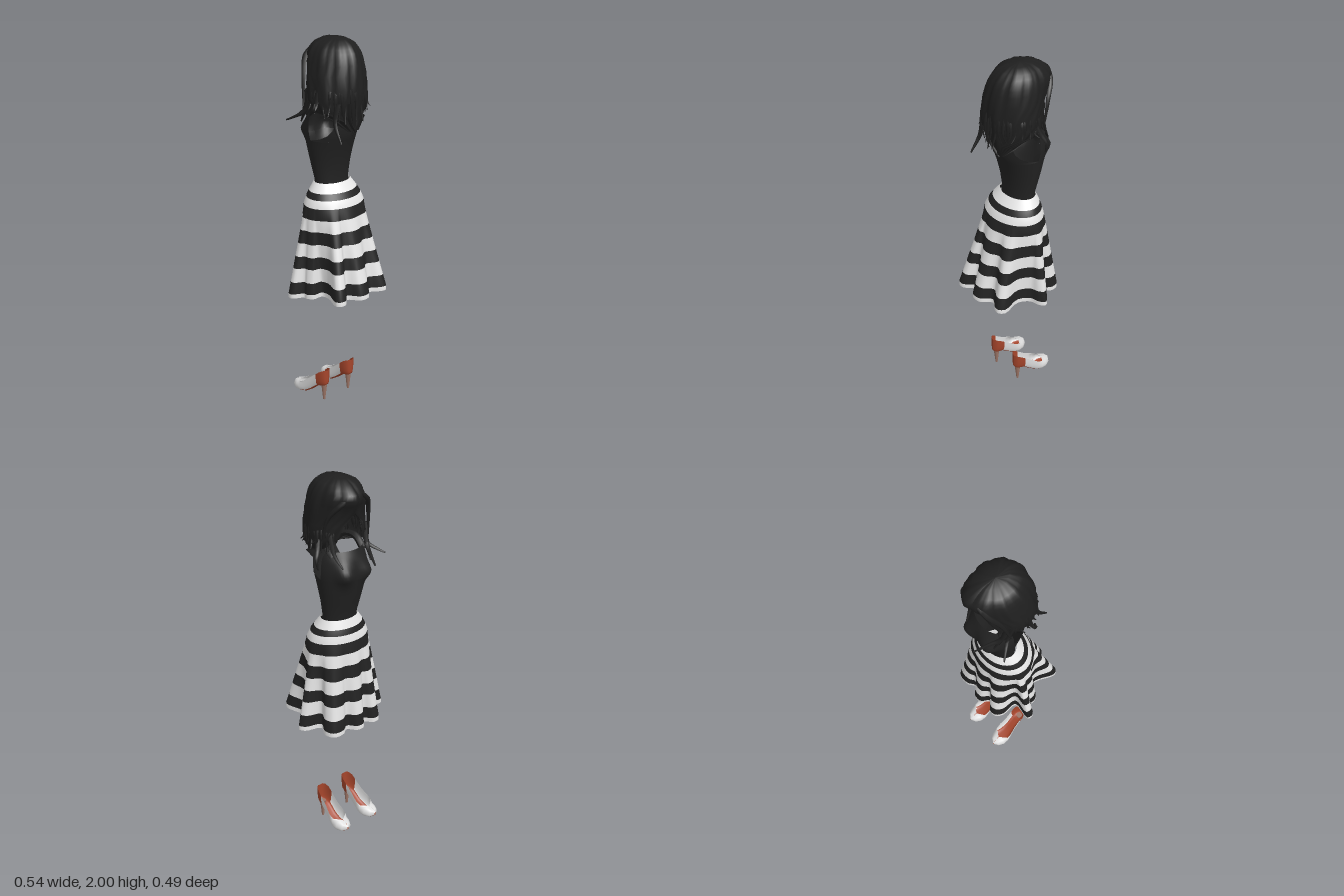
import * as THREE from 'three';

const V = (x, y, z) => new THREE.Vector3(x, y, z);
const mat = (name, color) => {
  const m = new THREE.MeshStandardMaterial({ color, side: THREE.DoubleSide });
  m.name = name;
  return m;
};

// Skin a surface over rows of points; pick(row, col) chooses the material of each quad
function loft(name, rows, mats, pick = () => 0) {
  const n = rows[0].length, lists = mats.map(() => []);
  for (let i = 0; i < rows.length - 1; i++)
    for (let j = 0; j < n - 1; j++) {
      const a = i * n + j, b = a + n;
      lists[pick(i, j)].push(a, b, a + 1, b, b + 1, a + 1);
    }
  const g = new THREE.BufferGeometry();
  g.setAttribute('position', new THREE.Float32BufferAttribute(rows.flat().flatMap(p => [p.x, p.y, p.z]), 3));
  g.setIndex(lists.flat());
  let start = 0;
  lists.forEach((l, k) => { g.addGroup(start, l.length, k); start += l.length; });
  g.computeVertexNormals();
  const m = new THREE.Mesh(g, mats);
  m.name = name;
  return m;
}

// Arc of an ellipse, angle 0 at +z; mid is the arc centre, half its half-width
function arc(y, cx, cz, rx, rz, mid, half, n, bump) {
  return Array.from({ length: n + 1 }, (_, j) => {
    const t = mid + half * (2 * j / n - 1), k = bump(t, y);
    return V(cx + rx * k * Math.sin(t), y, cz + rz * k * Math.cos(t));
  });
}

// Tapered lock of hair or strap along a curve
function strand(name, pts, r0, r1, material, sides = 5) {
  const curve = new THREE.CatmullRomCurve3(pts.map(p => V(...p))), seg = 10;
  const g = new THREE.TubeGeometry(curve, seg, 1, sides);
  const p = g.attributes.position;
  for (let i = 0; i <= seg; i++) {
    const c = curve.getPointAt(i / seg), r = r0 + (r1 - r0) * (i / seg) ** 1.5;
    for (let j = 0; j <= sides; j++) {
      const k = i * (sides + 1) + j, v = V(0, 0, 0).fromBufferAttribute(p, k).sub(c).multiplyScalar(r).add(c);
      p.setXYZ(k, v.x, v.y, v.z);
    }
  }
  g.computeVertexNormals();
  const m = new THREE.Mesh(g, material);
  m.name = name;
  return m;
}

function makeSkirt(black, white) {
  // Outline of the folded hem, as x, z pairs
  const hem = [[.268, -.01], [.242, .015], [.19, .03], [.157, .09], [.18, .2], [.155, .23], [.125, .225], [.07, .19],
    [.02, .24], [-.035, .24], [-.08, .18], [-.13, .225], [-.165, .225], [-.18, .2], [-.137, .1], [-.14, .05],
    [-.195, .045], [-.215, .015], [-.215, -.01], [-.268, -.045], [-.262, -.08], [-.16, -.075], [-.155, -.16],
    [-.13, -.198], [-.09, -.202], [-.05, -.165], [-.015, -.205], [.03, -.205], [.07, -.165], [.11, -.187], [.16, -.19],
    [.185, -.175], [.195, -.13], [.165, -.07], [.25, -.04]];
  const outline = new THREE.CatmullRomCurve3(hem.map(([x, z]) => V(x, 0, z)), true).getPoints(140);
  const levels = [1.255, 1.21, 1.18, 1.14, 1.08, 1.015, .945, .875, .81, .735, .672, .648];
  const rows = levels.map(y => {
    const hip = Math.min(1, (1.255 - y) / .155), e = Math.sin(hip * Math.PI / 2);
    const w = THREE.MathUtils.clamp((1.12 - y) / .45, 0, 1);
    const rx = .108 + .072 * e, rz = .076 + .064 * e, cx = .014 - .006 * e, cz = -.04 + .022 * e;
    return outline.map(p => {
      const t = Math.atan2(p.x / .22, p.z / .2);
      return V(THREE.MathUtils.lerp(cx + rx * Math.sin(t), p.x, w), y + .05 * p.z * w,
        THREE.MathUtils.lerp(cz + rz * Math.cos(t), p.z, w));
    });
  });
  return loft('stripedSkirt', rows, [white, black], i => i % 2);
}

function makeTop(black) {
  const g = new THREE.Group();
  g.name = 'sleevelessTop';
  // Soft swelling of the chest on both sides of the centre line
  const chest = (t, y) => {
    const a = Math.abs(Math.abs(Math.atan2(Math.sin(t), Math.cos(t))) - Math.PI);
    return 1 + .24 * Math.exp(-(((a - .48) / .3) ** 2) - ((y - 1.515) / .048) ** 2);
  };
  // y, centre z, half width, half depth
  const body = [[1.22, -.04, .1, .07], [1.27, -.045, .102, .068], [1.35, -.052, .115, .086], [1.4, -.053, .124, .099],
    [1.43, -.053, .129, .107], [1.46, -.052, .133, .116], [1.485, -.05, .137, .123]];
  g.add(loft('bodice', body.map(([y, cz, rx, rz]) => arc(y, .014, cz, rx, rz, 0, Math.PI, 56, chest)), [black]));
  // As above, then half angles of the back and chest panels beside the armholes
  const upper = [[1.485, -.05, .137, .123, 1.62, 1.55], [1.5, -.048, .139, .127, 1.15, 1.5], [1.52, -.046, .141, .13, .85, 1.46],
    [1.545, -.043, .142, .131, .68, 1.42], [1.58, -.038, .141, .13, .58, 1.38], [1.61, -.032, .137, .125, .56, 1.3],
    [1.635, -.028, .13, .116, .58, 1.15]];
  ['backPanel', 'chestPanel'].forEach((name, k) => g.add(loft(name, upper.map(([y, cz, rx, rz, ...half]) =>
    arc(y, .014, cz, rx, rz, k * Math.PI, half[k], 32, chest)), [black])));
  for (const s of [-1, 1])
    g.add(strand('shoulderStrap', [[.014 + s * .068, 1.61, .074], [.014 + s * .092, 1.652, .035], [.014 + s * .105, 1.66, -.04],
      [.014 + s * .1, 1.61, -.11]], .016, .02, black, 6));
  return g;
}

function makeHair(hair) {
  const g = new THREE.Group();
  g.name = 'hair';
  // Wavy locks, with a rolled fringe swelling forward above the face
  const bump = (t, y) => {
    const a = t - Math.PI + .3, d = Math.atan2(Math.sin(a), Math.cos(a));
    return 1 + .025 * Math.sin(9 * t + 7 * y) + .018 * Math.sin(19 * t - 9 * y)
      + .27 * Math.exp(-((d / .65) ** 2) - ((y - 1.915) / .05) ** 2);
  };
  // y, centre x, centre z, half width, half depth, half arc (open towards the face)
  const rows = [[2, .03, -.035, 0, 0, Math.PI], [1.995, .03, -.035, .05, .07, Math.PI], [1.975, .028, -.035, .092, .108, Math.PI],
    [1.955, .026, -.033, .108, .124, Math.PI], [1.935, .024, -.03, .12, .137, Math.PI], [1.91, .022, -.025, .129, .144, Math.PI],
    [1.88, .02, -.02, .137, .149, Math.PI], [1.83, .016, -.01, .146, .15, Math.PI],
    [1.77, .013, -.004, .154, .151, 2.75], [1.71, .01, -.002, .157, .148, 2.55], [1.65, .012, 0, .15, .136, 2.1],
    [1.6, .02, .005, .14, .12, .85], [1.54, .03, .01, .12, .1, .3]];
  g.add(loft('hairCap', rows.map(([y, cx, cz, rx, rz, a]) => arc(y, cx, cz, rx, rz, 0, a, 64, bump)), [hair]));
  let seed = 7;
  const rnd = () => (seed = seed * 16807 % 2147483647) / 2147483647;
  // Loose locks around the hanging edge
  for (let i = 0; i < 34; i++) {
    const t = -2.45 + 4.9 * i / 33 + (rnd() - .5) * .1, side = Math.abs(Math.sin(t));
    const end = 1.57 + .06 * side * side + .05 * rnd();
    const at = (r, y, a = t) => [.012 + r * Math.sin(a), y, r * .96 * Math.cos(a)];
    g.add(strand('lock', [at(.112, 1.86 - .08 * rnd()), at(.148, 1.74), at(.146 + .012 * rnd(), 1.68),
      at(.14 + .035 * rnd(), end, t + (rnd() - .5) * .25)], .013, .002, hair));
  }
  // Side fringe, flicked tips and long tails
  const locks = [
    [[.06, 1.93, -.18], [.11, 1.89, -.16], [.15, 1.82, -.11], [.16, 1.7, -.08]],
    [[.0, 1.93, -.17], [-.05, 1.9, -.165], [-.1, 1.82, -.125], [-.135, 1.66, -.09]],
    [[-.11, 1.74, -.09], [-.1, 1.63, -.12], [-.07, 1.6, -.18], [-.04, 1.57, -.245]],
    [[-.12, 1.74, -.06], [-.12, 1.63, -.1], [-.15, 1.6, -.14], [-.178, 1.58, -.175]],
    [[-.11, 1.74, -.09], [-.1, 1.63, -.12], [-.09, 1.56, -.16]],
    [[.12, 1.74, -.09], [.12, 1.63, -.12], [.1, 1.56, -.165]],
    [[.14, 1.72, -.03], [.165, 1.65, -.05], [.19, 1.6, -.07], [.18, 1.55, -.07]],
    [[-.13, 1.75, .02], [-.15, 1.68, .02], [-.175, 1.66, .03], [-.165, 1.7, .03]],
    [[-.08, 1.7, .11], [-.1, 1.6, .11], [-.11, 1.51, .165]],
    [[.05, 1.7, .13], [.05, 1.6, .12], [.02, 1.51, .1]],
    [[-.03, 1.7, .13], [-.01, 1.6, .12], [.04, 1.53, .11]]];
  locks.forEach(l => g.add(strand('longLock', l, .016, .004, hair)));
  return g;
}

function makeShoe(s, white, rust, heelMat) {
  const g = new THREE.Group();
  g.name = s > 0 ? 'leftShoe' : 'rightShoe';
  // z, bottom, rim, half width, half opening angle
  const stations = [[.046, .112, .188, 0, 1.57], [.042, .102, .192, .017, 1.57], [.032, .094, .189, .028, 1.57],
    [.012, .088, .178, .036, 1.57], [-.012, .08, .158, .037, 1.57], [-.06, .04, .118, .038, 1.57], [-.1, .014, .087, .046, 1.65],
    [-.13, .009, .073, .05, 2.2], [-.16, .009, .063, .047, 3.14], [-.19, .013, .055, .031, 3.14], [-.206, .025, .042, .004, 3.14]];
  const n = 24;
  const rows = stations.map(([z, yb, yt, w, T]) => Array.from({ length: n + 1 }, (_, j) => {
    const t = T * (2 * j / n - 1), k = ((1 - Math.cos(t)) / (1 - Math.cos(T))) ** 1.3;
    return V(w * Math.sign(Math.sin(t)) * Math.abs(Math.sin(t)) ** .6, yb + (yt - yb) * k, z);
  }));
  // Rust heel cup and sole, white vamp
  g.add(loft('pump', rows, [white, rust], (i, j) => (i < 4 || Math.abs(j + .5 - n / 2) < (i < 7 ? 5 : 3) ? 1 : 0)));
  const heel = new THREE.Mesh(new THREE.CylinderGeometry(.017, .006, .1, 12), heelMat);
  heel.name = 'stilettoHeel';
  heel.position.set(0, .05, .018);
  g.add(heel);
  g.position.x = s > 0 ? .083 : -.1;
  g.rotation.y = -s * .06;
  return g;
}

export function createModel() {
  const black = mat('black fabric', 0x222222), white = mat('white fabric', 0xe8e8e8);
  const hair = mat('dark hair', 0x1f1f1f), rust = mat('rust leather', 0xa5452b);
  const shoeWhite = mat('white leather', 0xdedede), heel = mat('heel brown', 0x9c7566);
  const model = new THREE.Group();
  model.name = 'outfit';
  model.add(makeSkirt(black, white), makeTop(black), makeHair(hair));
  for (const s of [-1, 1]) model.add(makeShoe(s, shoeWhite, rust, heel));
  return model;
}
